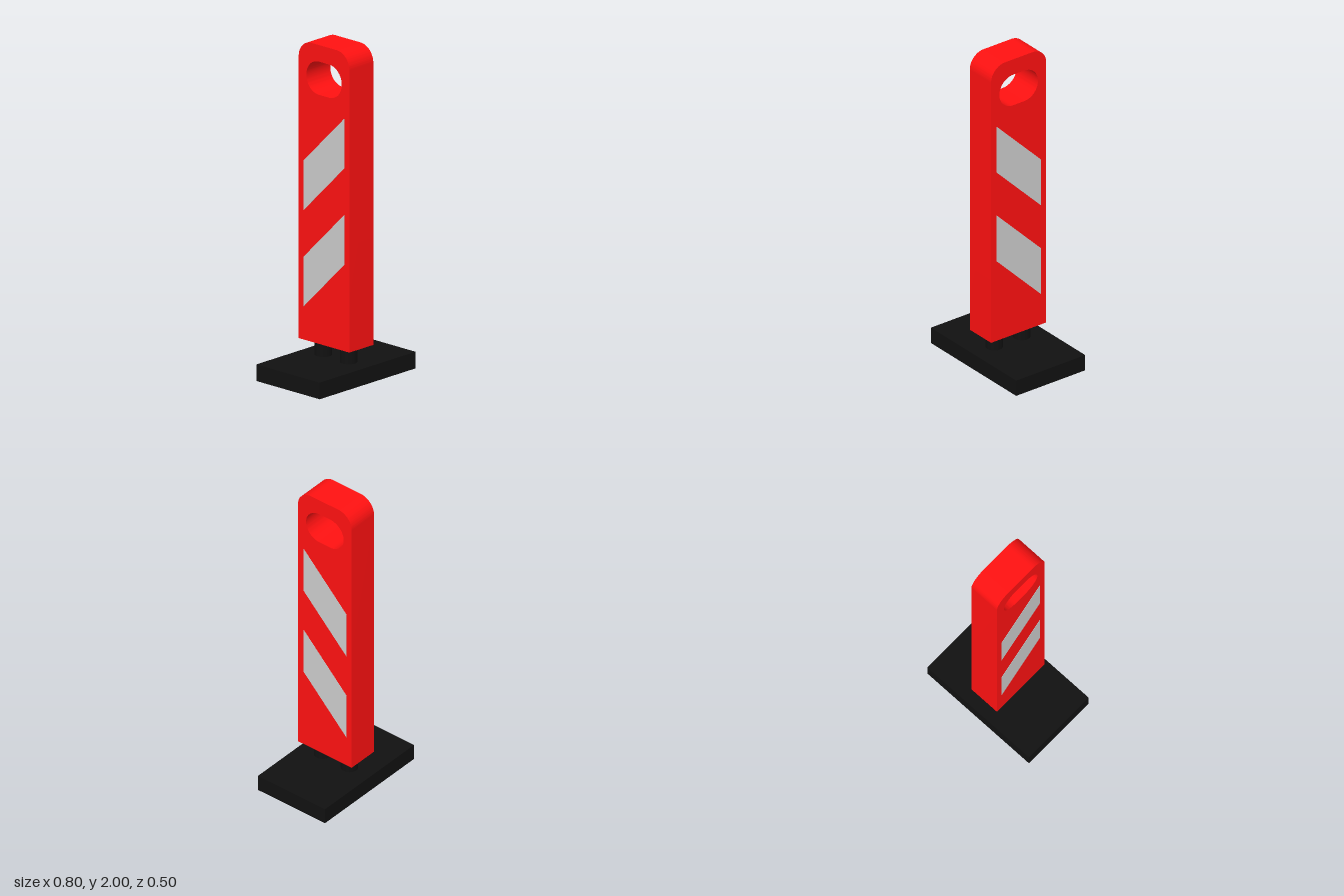
import * as THREE from 'three';
import { toCreasedNormals } from 'three/addons/utils/BufferGeometryUtils.js';

const red = new THREE.MeshStandardMaterial({ color: 0xff1111 });
const black = new THREE.MeshStandardMaterial({ color: 0x111111 });
const grey = new THREE.MeshStandardMaterial({ color: 0xcccccc });

function addMesh(parent, name, geometry, material, x = 0, y = 0, z = 0) {
  const mesh = new THREE.Mesh(geometry, material);
  mesh.name = name;
  mesh.position.set(x, y, z);
  parent.add(mesh);
  return mesh;
}

// Profiles are drawn in the side plane (u = -z, v = y), then turned to run along x.
function extrudeAlongX(shape, width) {
  const geometry = new THREE.ExtrudeGeometry(shape, { depth: width, bevelEnabled: false, curveSegments: 20 });
  geometry.translate(0, 0, -width / 2);
  geometry.rotateY(Math.PI / 2);
  return toCreasedNormals(geometry, 0.6);
}

// Panel outline with rounded top corners and an oblong grip hole
function panelShape() {
  const shape = new THREE.Shape();
  shape.moveTo(-0.2, 0.2);
  shape.lineTo(0.2, 0.2);
  shape.lineTo(0.2, 1.9);
  shape.absarc(0.1, 1.9, 0.1, 0, Math.PI / 2, false);
  shape.lineTo(-0.1, 2);
  shape.absarc(-0.1, 1.9, 0.1, Math.PI / 2, Math.PI, false);
  shape.closePath();

  const hole = new THREE.Path();
  hole.moveTo(0.04, 1.7);
  hole.absarc(0.04, 1.8, 0.1, -Math.PI / 2, Math.PI / 2, false);
  hole.lineTo(-0.04, 1.9);
  hole.absarc(-0.04, 1.8, 0.1, Math.PI / 2, Math.PI * 1.5, false);
  hole.closePath();
  shape.holes.push(hole);
  return shape;
}

// Slanted stripe, 0.3 tall, dropping towards the back
function stripeShape(top) {
  return new THREE.Shape([
    new THREE.Vector2(-0.16, top - 0.3),
    new THREE.Vector2(0.16, top - 0.62),
    new THREE.Vector2(0.16, top - 0.32),
    new THREE.Vector2(-0.16, top),
  ]);
}

export function createModel() {
  const group = new THREE.Group();
  group.name = 'trafficDelineator';

  addMesh(group, 'base', new THREE.BoxGeometry(0.8, 0.1, 0.5), black, 0, 0.05, 0);

  // Two round posts between base and panel
  for (const z of [-0.1, 0.1]) {
    addMesh(group, z > 0 ? 'frontPost' : 'backPost', new THREE.CylinderGeometry(0.05, 0.05, 0.1, 32), black, 0, 0.15, z);
  }

  addMesh(group, 'panel', extrudeAlongX(panelShape(), 0.2), red);

  // Thin reflective stripes on both broad faces
  for (const top of [1.6, 1.02]) {
    for (const side of [-1, 1]) {
      const name = (top > 1.3 ? 'upper' : 'lower') + (side > 0 ? 'Left' : 'Right') + 'Stripe';
      addMesh(group, name, extrudeAlongX(stripeShape(top), 0.002), grey, side * 0.1, 0, 0);
    }
  }
  return group;
}
